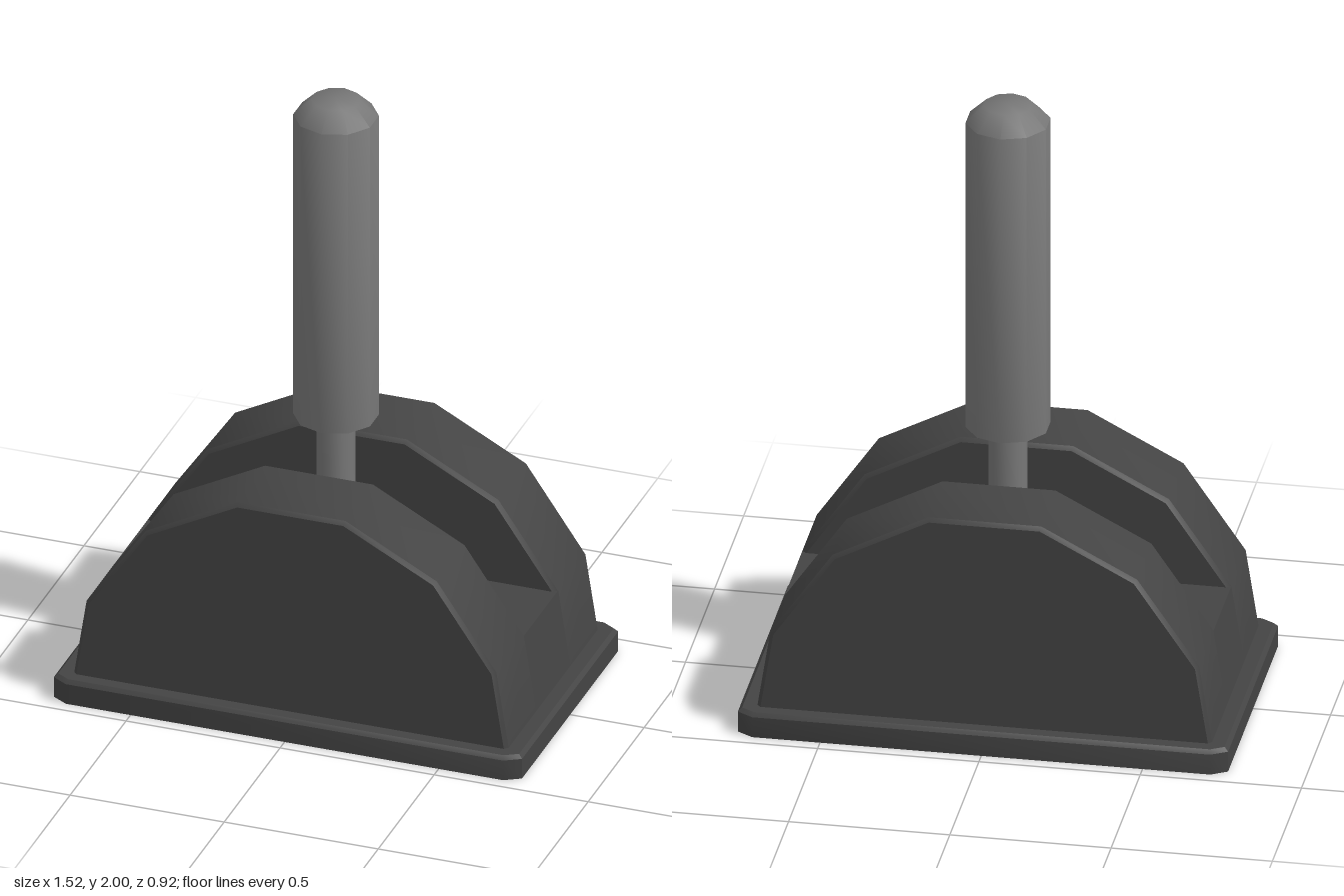
import * as THREE from 'three';
import { toCreasedNormals } from 'three/addons/utils/BufferGeometryUtils.js';

const BEVEL = 0.012;
const FLOOR = 0.335; // height of the slot floor

const dark = new THREE.MeshStandardMaterial({ color: 0x444444 });
const grey = new THREE.MeshStandardMaterial({ color: 0x777777 });

function add(group, name, geometry, material, crease) {
  const mesh = new THREE.Mesh(toCreasedNormals(geometry, crease), material);
  mesh.name = name;
  group.add(mesh);
  return mesh;
}

// Shape mirrored across x = 0 from its right-hand points, listed bottom to top
function mirroredShape(right) {
  const left = right.map(([x, y]) => [-x, y]).reverse();
  return new THREE.Shape([...right, ...left].map(([x, y]) => new THREE.Vector2(x, y)));
}

function bevelled(shape, depth) {
  return new THREE.ExtrudeGeometry(shape, {
    depth, bevelEnabled: true, bevelSegments: 1,
    bevelSize: BEVEL, bevelThickness: BEVEL, bevelOffset: -BEVEL,
  });
}

// Turned part with ten sides; points are [radius, height] from bottom to top
function turned(points) {
  return new THREE.LatheGeometry(points.map(([r, y]) => new THREE.Vector2(r, y)), 10);
}

export function createModel() {
  const model = new THREE.Group();
  model.name = 'leverSwitch';

  // Base plate: clipped corners, bevelled top edge, flat underside
  const outline = mirroredShape([[0.71, -0.46], [0.76, -0.43], [0.76, 0.43], [0.71, 0.46]]);
  const plate = bevelled(outline, 0.08 - BEVEL).rotateX(-Math.PI / 2);
  const pos = plate.attributes.position;
  for (let i = 0; i < pos.count; i++) pos.setY(i, Math.max(0, pos.getY(i)));
  add(model, 'basePlate', plate, dark, 0.6);

  // Two arched cheeks either side of the slot
  const arch = mirroredShape([[0.708, 0.06], [0.665, FLOOR], [0.472, 0.615], [0.175, 0.77]]);
  for (const [name, z] of [['frontCheek', 0.14], ['backCheek', -0.41]]) {
    const cheek = bevelled(arch, 0.27 - 2 * BEVEL).translate(0, 0, z + BEVEL);
    add(model, name, cheek, dark, 0.6);
  }

  // Block between the cheeks, forming the slot floor
  const block = new THREE.ExtrudeGeometry(
    mirroredShape([[0.708, 0.06], [0.665, FLOOR]]), { depth: 0.31, bevelEnabled: false });
  add(model, 'slotFloor', block.translate(0, 0, -0.155), dark, 0.6);

  // Lever: thin rod with a thick round-topped grip
  const lever = new THREE.Group();
  lever.name = 'lever';
  add(lever, 'rod', turned([[0, 0.3], [0.06, 0.3], [0.06, 0.93], [0, 0.93]]), grey, 0.9);
  add(lever, 'grip', turned([[0, 0.905], [0.131, 0.905], [0.131, 1.945], [0.075, 2], [0, 2]]), grey, 0.9);
  model.add(lever);

  return model;
}
